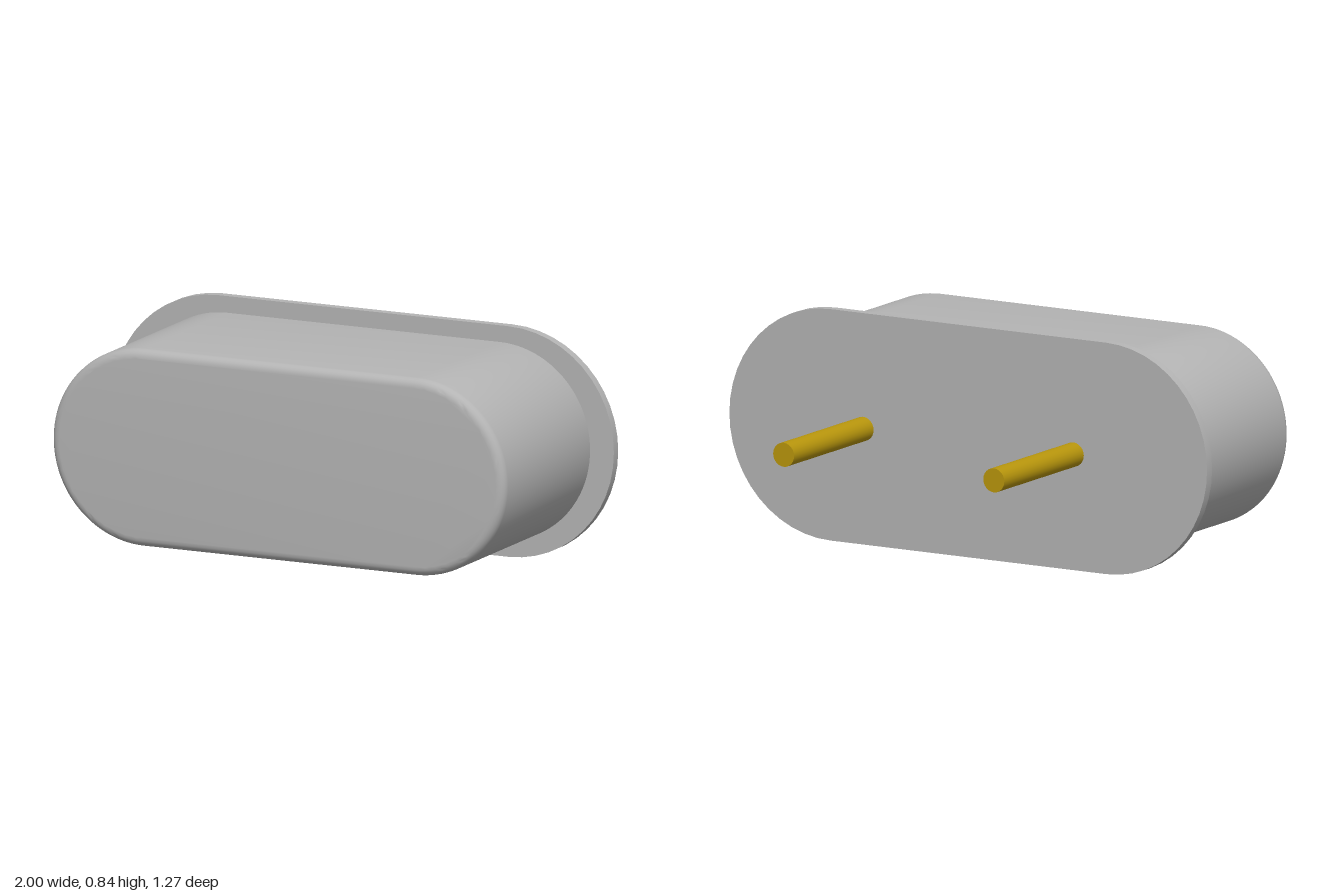
import * as THREE from 'three';
import { toCreasedNormals } from 'three/addons/utils/BufferGeometryUtils.js';

const MID_Y = 0.422;

// Stadium outline: two half circles of radius r centred at x = ±c
function stadium(c, r) {
  const s = new THREE.Shape();
  s.absarc(c, 0, r, -Math.PI / 2, Math.PI / 2, false);
  s.absarc(-c, 0, r, Math.PI / 2, Math.PI * 1.5, false);
  return s;
}

export function createModel() {
  const model = new THREE.Group();
  model.name = 'twoPinCan';

  const steel = new THREE.MeshStandardMaterial({ color: 0xb4b4b4 });
  steel.name = 'grey metal';
  const gold = new THREE.MeshStandardMaterial({ color: 0xb8960c });
  gold.name = 'gold';

  function add(name, geometry, material, x, z) {
    const mesh = new THREE.Mesh(geometry, material);
    mesh.name = name;
    mesh.position.set(x, MID_Y, z);
    model.add(mesh);
    return mesh;
  }

  // Can body with a rounded front rim; its rear rim is buried in the flange
  const bevel = 0.033;
  const body = new THREE.ExtrudeGeometry(stadium(0.544, 0.361 - bevel), {
    depth: 0.69 - bevel, curveSegments: 24,
    bevelEnabled: true, bevelSize: bevel, bevelThickness: bevel, bevelSegments: 5,
  });
  add('canBody', toCreasedNormals(body, 0.5), steel, 0, -0.055);

  // Thin base flange
  const flange = new THREE.ExtrudeGeometry(stadium(0.578, 0.422), {
    depth: 0.035, curveSegments: 12, bevelEnabled: false,
  });
  add('baseFlange', toCreasedNormals(flange, 0.5), steel, 0, -0.09);

  // Pair of round pins pointing backwards
  const pin = new THREE.CylinderGeometry(0.044, 0.044, 0.55, 24).rotateX(Math.PI / 2);
  add('leftPin', pin, gold, 0.44, -0.36);
  add('rightPin', pin, gold, -0.44, -0.36);

  return model;
}
